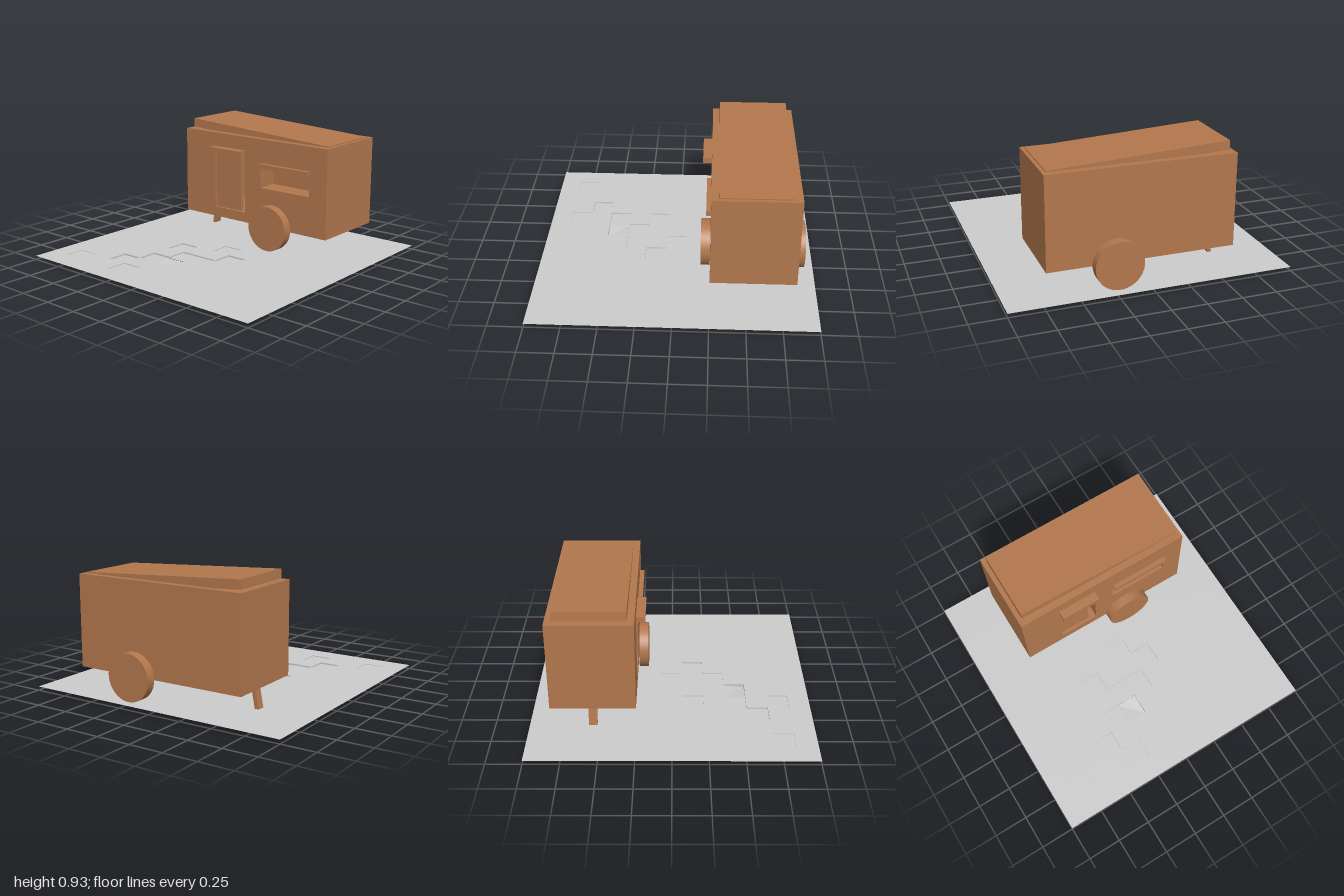
import * as THREE from 'three';

const brown = new THREE.MeshStandardMaterial({ color: 0xb2774d, flatShading: true });
const brownSmooth = new THREE.MeshStandardMaterial({ color: 0xb2774d });
const grey = new THREE.MeshStandardMaterial({ color: 0xcccccc, flatShading: true, side: THREE.DoubleSide });

function add(parent, name, geometry, material = brown) {
  const mesh = new THREE.Mesh(geometry, material);
  mesh.name = name;
  parent.add(mesh);
  return mesh;
}

// Box given by its limits on each axis
function box(parent, name, x0, x1, y0, y1, z0, z1) {
  const mesh = add(parent, name, new THREE.BoxGeometry(x1 - x0, y1 - y0, z1 - z0));
  mesh.position.set((x0 + x1) / 2, (y0 + y1) / 2, (z0 + z1) / 2);
  return mesh;
}

function rectangle(PathType, [x0, x1, y0, y1]) {
  const path = new PathType();
  path.moveTo(x0, y0);
  path.lineTo(x1, y0);
  path.lineTo(x1, y1);
  path.lineTo(x0, y1);
  path.closePath();
  return path;
}

// Flat ground of square tiles, some of them sunk with upright edges
function groundGeometry() {
  const n = 13, top = 0.03, step = 2 / n;
  const sunk = new Map([
    ['6,6', 0.024], ['4,7', 0.02], ['7,7', 0.018], ['5,8', 0.02], ['6,8', 0.02],
    ['4,9', 0.018], ['5,9', 0.018], ['3,10', 0.018], ['4,11', 0.024], ['1,11', 0.026],
  ]);
  const positions = [];
  const quad = (a, b, c, d) => positions.push(...a, ...b, ...c, ...a, ...c, ...d);
  for (let i = 0; i < n; i++) {
    for (let j = 0; j < n; j++) {
      const floor = sunk.get(`${i},${j}`);
      // one corner of the connected hollow dips lowest
      const corner = (u, v) => [-1 + u * step, floor === undefined ? top : (u === 6 && v === 10 ? 0.002 : floor), -1 + v * step];
      const c = [corner(i, j), corner(i, j + 1), corner(i + 1, j + 1), corner(i + 1, j)];
      quad(...c);
      if (floor === undefined) continue;
      const neighbours = [[i - 1, j], [i, j + 1], [i + 1, j], [i, j - 1]];
      neighbours.forEach(([u, v], k) => {
        if (sunk.has(`${u},${v}`)) return;
        const a = c[k], b = c[(k + 1) % 4];
        quad(a, [a[0], top, a[2]], [b[0], top, b[2]], b);
      });
    }
  }
  const geometry = new THREE.BufferGeometry();
  geometry.setAttribute('position', new THREE.Float32BufferAttribute(positions, 3));
  geometry.computeVertexNormals();
  return geometry;
}

export function createModel() {
  const model = new THREE.Group();
  model.name = 'trailerScene';
  add(model, 'ground', groundGeometry(), grey);

  const trailer = new THREE.Group();
  trailer.name = 'trailer';
  model.add(trailer);

  // Body in slices, so the window is a shallow recess and the doorway a deep one
  const outline = [-0.625, 0.705, 0.19, 0.855];
  const doorway = [-0.33, -0.035, 0.265, 0.71];
  const windowHole = [0.115, 0.555, 0.485, 0.655];
  const slices = [
    ['bodyFront', -0.25, -0.41, [doorway, windowHole]],
    ['bodyMiddle', -0.41, -0.68, [doorway]],
    ['bodyBack', -0.68, -0.85, []],
  ];
  for (const [name, front, back, holes] of slices) {
    const shape = rectangle(THREE.Shape, outline);
    shape.holes = holes.map((hole) => rectangle(THREE.Path, hole));
    const geometry = new THREE.ExtrudeGeometry(shape, { depth: front - back, bevelEnabled: false });
    add(trailer, name, geometry).position.z = back;
  }

  // Door leaf standing in the doorway, with a gap on one side
  box(trailer, 'door', -0.33, -0.09, 0.265, 0.71, -0.3, -0.27);
  box(trailer, 'doorAwning', -0.33, -0.035, 0.71, 0.75, -0.26, -0.185);
  box(trailer, 'windowAwning', 0.115, 0.555, 0.64, 0.675, -0.26, -0.217);

  // Sloping roof slab, its low end sinking into the body
  const roof = add(trailer, 'roof', new THREE.BoxGeometry(1.27, 0.065, 0.5));
  roof.position.set(0.043, 0.864, -0.55);
  roof.rotation.z = -0.0535;

  // Wheels, one on each side
  for (const [name, z] of [['frontWheel', -0.215], ['backWheel', -0.895]]) {
    const wheel = add(trailer, name, new THREE.CylinderGeometry(0.17, 0.17, 0.068, 48), brownSmooth);
    wheel.rotation.x = Math.PI / 2;
    wheel.position.set(0.225, 0.199, z);
  }

  // Leaning support leg
  const legGeometry = new THREE.BoxGeometry(0.03, 0.175, 0.06);
  legGeometry.applyMatrix4(new THREE.Matrix4().makeShear(0, 0, 0.19, 0, 0, 0));
  add(trailer, 'supportLeg', legGeometry).position.set(-0.565, 0.108, -0.555);

  return model;
}
